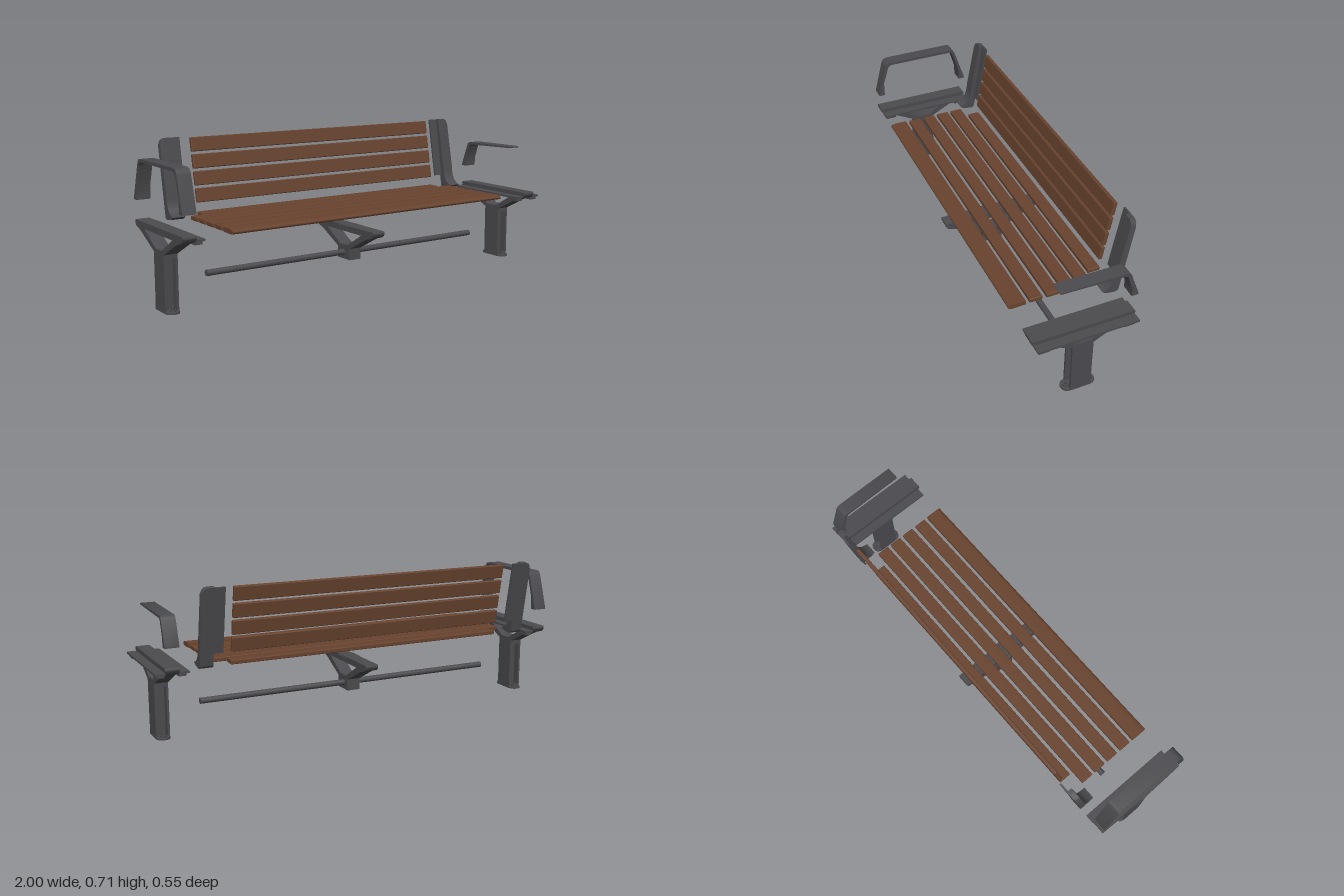
import * as THREE from 'three';
import { toCreasedNormals } from 'three/addons/utils/BufferGeometryUtils.js';
import { RoundedBoxGeometry } from 'three/addons/geometries/RoundedBoxGeometry.js';

const MID = 0.03;      // z of the posts
const W = 0.064;       // width of the cast parts
const TILT = 0.187;    // backrest lean, z per y

export function createModel() {
  const metal = new THREE.MeshStandardMaterial({ color: 0x4b4a4e });
  metal.name = 'dark grey metal';
  const wood = new THREE.MeshStandardMaterial({ color: 0x68432e });
  wood.name = 'brown wood';
  const model = new THREE.Group();
  model.name = 'explodedBench';

  const add = (parent, name, geo, mat, x = 0, y = 0, z = 0) => {
    const m = new THREE.Mesh(geo, mat);
    m.name = name;
    m.position.set(x, y, z);
    parent.add(m);
    return m;
  };
  const group = (name, x = 0, y = 0, z = 0) => {
    const g = new THREE.Group();
    g.name = name;
    g.position.set(x, y, z);
    model.add(g);
    return g;
  };
  const box = (w, h, d) => new THREE.BoxGeometry(w, h, d);

  // Outline from points [z, y]; four numbers make a curve [control z, y, end z, y]
  const outline = (pts, Type = THREE.Shape) => {
    const s = new Type();
    pts.forEach((p, i) => {
      if (i === 0) s.moveTo(p[0], p[1]);
      else if (p.length === 4) s.quadraticCurveTo(...p);
      else s.lineTo(p[0], p[1]);
    });
    s.closePath();
    return s;
  };
  // Side profile in (z, y) extruded along x, centred on x = 0
  const profile = (shape, width, steps = 1) => {
    const g = new THREE.ExtrudeGeometry(shape, { depth: width, steps, bevelEnabled: false, curveSegments: 8 });
    g.rotateY(-Math.PI / 2).translate(width / 2, 0, 0);
    return g;
  };
  const smooth = (g) => toCreasedNormals(g, 0.6);

  // V-shaped frame with an open triangle between the arms and the beam
  const frame = () => {
    const s = outline([
      [-0.049, 0.235], [0.049, 0.235], [0.049, 0.255], [0.18, 0.322], [0.225, 0.336],
      [0.243, 0.35, 0.235, 0.364], [-0.235, 0.364], [-0.243, 0.35, -0.225, 0.336],
      [-0.18, 0.322], [-0.049, 0.255],
    ]);
    s.holes.push(outline([[-0.03, 0.27], [-0.14, 0.335], [0.14, 0.335], [0.03, 0.27]], THREE.Path));
    return smooth(profile(s, W));
  };

  // End legs: H-section post, base tabs with bolts, side ledges for the slats
  const leg = (name, x, sides) => {
    const g = group(name, x, 0, MID);
    add(g, 'seatFrame', frame(), metal);
    for (const s of [-1, 1]) {
      add(g, 'postWall', box(0.01, 0.24, 0.098), metal, s * 0.027, 0.12, 0);
      const tab = add(g, 'baseTab', new THREE.CylinderGeometry(0.028, 0.028, 0.009, 20), metal, 0, 0.0045, s * 0.051);
      tab.scale.x = 1.1;
      add(g, 'washer', new THREE.CylinderGeometry(0.015, 0.015, 0.01, 16), metal, 0, 0.0135, s * 0.055);
      add(g, 'boltNut', new THREE.CylinderGeometry(0.008, 0.008, 0.012, 6), metal, 0, 0.0225, s * 0.055);
    }
    add(g, 'postWeb', box(0.05, 0.24, 0.03), metal, 0, 0.12, 0);
    for (const s of sides) {
      add(g, 'slatLedge', box(0.044, 0.009, 0.465), metal, s * 0.053, 0.34, -0.004);
      for (const e of [-1, 1])
        add(g, 'ledgeLug', box(0.034, 0.016, 0.05), metal, s * 0.048, 0.329, e * 0.195);
    }
  };
  leg('rightLeg', -0.968, [1]);
  leg('leftLeg', 0.925, [-1, 1]);

  // Centre support, carried by the rail
  const support = group('centreSupport', -0.022, -0.095, MID);
  add(support, 'supportFrame', frame(), metal);
  add(support, 'supportBlock', box(W, 0.04, 0.098), metal, 0, 0.22, 0);
  add(support, 'supportTopPlate', box(0.08, 0.008, 0.07), metal, 0, 0.358, 0);
  const rail = add(model, 'railTube', new THREE.CylinderGeometry(0.014, 0.014, 1.515, 20), metal, -0.022, 0.137, MID - 0.004);
  rail.rotation.z = Math.PI / 2;

  // Seat slats: the rear one is shorter, the front one has a rounded nose
  const seat = group('seat');
  for (const z of [-0.094, -0.018, 0.06, 0.139])
    add(seat, 'seatSlat', new RoundedBoxGeometry(1.502, 0.02, 0.06, 2, 0.004), wood, -0.022, 0.358, z);
  add(seat, 'rearSeatSlat', new RoundedBoxGeometry(1.367, 0.02, 0.058, 2, 0.004), wood, -0.022, 0.358, -0.17);
  const nose = outline([
    [0.187, 0.348], [0.25, 0.346], [0.268, 0.347, 0.268, 0.356], [0.266, 0.368, 0.245, 0.368], [0.187, 0.368],
  ]);
  add(seat, 'frontSeatSlat', smooth(profile(nose, 1.502)), wood, -0.022);

  // Backrest slats
  const back = group('backrest');
  for (let i = 0; i < 4; i++) {
    const y = 0.44 + i * 0.0762;
    const slat = add(back, 'backSlat', new RoundedBoxGeometry(1.367, 0.065, 0.018, 2, 0.004), wood, -0.022, y, -0.199 - (y - 0.41) * TILT);
    slat.rotation.x = -Math.atan(TILT);
  }

  // Backrest supports: curved foot, outer top corner rounded, inner flange
  const backSupport = (name, x, inward) => {
    const g = group(name, x);
    const geo = profile(outline([
      [-0.133, 0.364], [-0.192, 0.372, -0.197, 0.46], [-0.247, 0.707], [-0.272, 0.703],
      [-0.213, 0.365], [-0.212, 0.347, -0.192, 0.345], [-0.15, 0.352],
    ]), 0.06, 8);
    const p = geo.attributes.position;
    const r = 0.03;
    for (let i = 0; i < p.count; i++) {
      if (p.getY(i) < 0.69) continue;
      const t = Math.max(0, -inward * p.getX(i));
      const drop = r - Math.sqrt(Math.max(0, r * r - t * t));
      p.setY(i, p.getY(i) - drop);
      p.setZ(i, p.getZ(i) + drop * TILT);
    }
    geo.computeVertexNormals();
    add(g, 'supportPost', smooth(geo), metal);
    const flange = add(g, 'slatFlange', box(0.048, 0.298, 0.009), metal, inward * 0.05, 0.557, -0.242);
    flange.rotation.x = -Math.atan(TILT);
  };
  backSupport('rightBackSupport', -0.825, 1);
  backSupport('leftBackSupport', 0.777, -1);

  // Full-length armrest hoop
  const hoop = outline([
    [0.242, 0.452], [0.2, 0.61], [0.192, 0.637, 0.165, 0.637], [-0.165, 0.637],
    [-0.184, 0.637, -0.193, 0.61], [-0.242, 0.46], [-0.242, 0.452], [-0.212, 0.452], [-0.21, 0.51],
    [-0.18, 0.605], [-0.175, 0.623, -0.155, 0.623], [0.16, 0.623],
    [0.179, 0.623, 0.185, 0.605], [0.212, 0.52], [0.212, 0.452],
  ]);
  add(model, 'rightArmrest', smooth(profile(hoop, W)), metal, -0.968, 0, MID);

  // Short armrest, open at the front
  const shortArm = outline([
    [-0.212, 0.452], [-0.212, 0.46], [-0.174, 0.563], [-0.168, 0.583, -0.147, 0.583],
    [0.146, 0.587], [0.153, 0.584, 0.147, 0.58], [-0.138, 0.571],
    [-0.154, 0.57, -0.159, 0.555], [-0.181, 0.49], [-0.181, 0.452],
  ]);
  add(model, 'leftArmrest', smooth(profile(shortArm, W)), metal, 0.925);

  return model;
}
